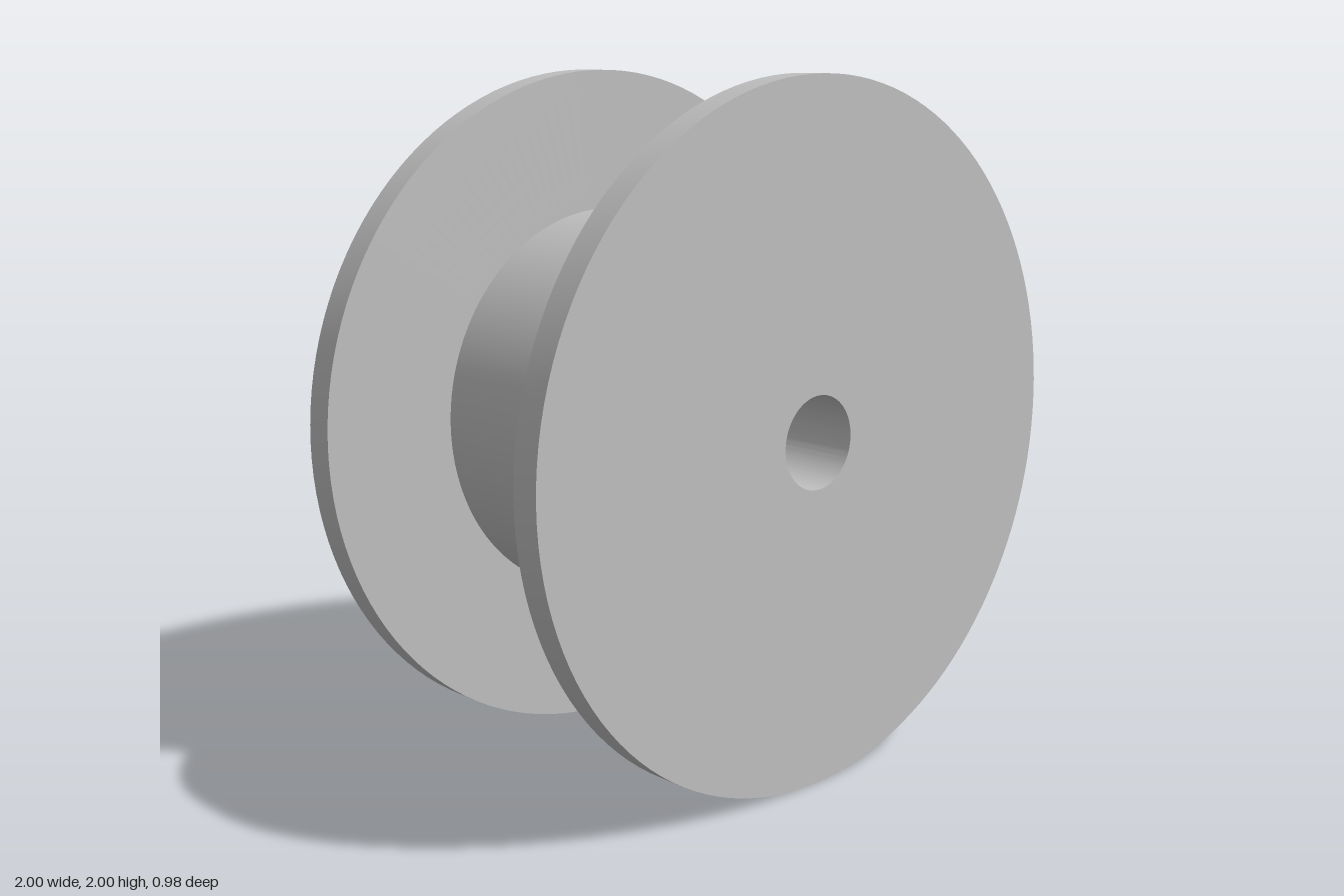
import * as THREE from 'three';
import { toCreasedNormals } from 'three/addons/utils/BufferGeometryUtils.js';

const FLANGE_R = 1, HUB_R = 0.587, BORE_R = 0.133;
const END_Z = 0.49, INNER_Z = 0.404;

export function createModel() {
  const model = new THREE.Group();
  model.name = 'spool';

  const grey = new THREE.MeshStandardMaterial({ color: 0xc0c0c0 });
  grey.name = 'light grey';

  // Turns a (radius, z) profile about the z axis, keeping its corners sharp
  const turned = (name, profile) => {
    const points = profile.map(([r, z]) => new THREE.Vector2(r, z));
    const geometry = toCreasedNormals(new THREE.LatheGeometry(points, 128), 0.5);
    geometry.rotateX(Math.PI / 2);
    const mesh = new THREE.Mesh(geometry, grey);
    mesh.name = name;
    mesh.position.y = FLANGE_R;
    model.add(mesh);
  };

  // Flat discs at both ends, open where the hub and bore meet them
  turned('frontFlange', [[HUB_R, INNER_Z], [FLANGE_R, INNER_Z], [FLANGE_R, END_Z], [BORE_R, END_Z]]);
  turned('backFlange', [[BORE_R, -END_Z], [FLANGE_R, -END_Z], [FLANGE_R, -INNER_Z], [HUB_R, -INNER_Z]]);

  // Winding drum between the discs
  turned('hub', [[HUB_R, -INNER_Z], [HUB_R, INNER_Z]]);

  // Axle hole, facing inwards, right through the spool
  turned('bore', [[BORE_R, END_Z], [BORE_R, -END_Z]]);

  return model;
}
